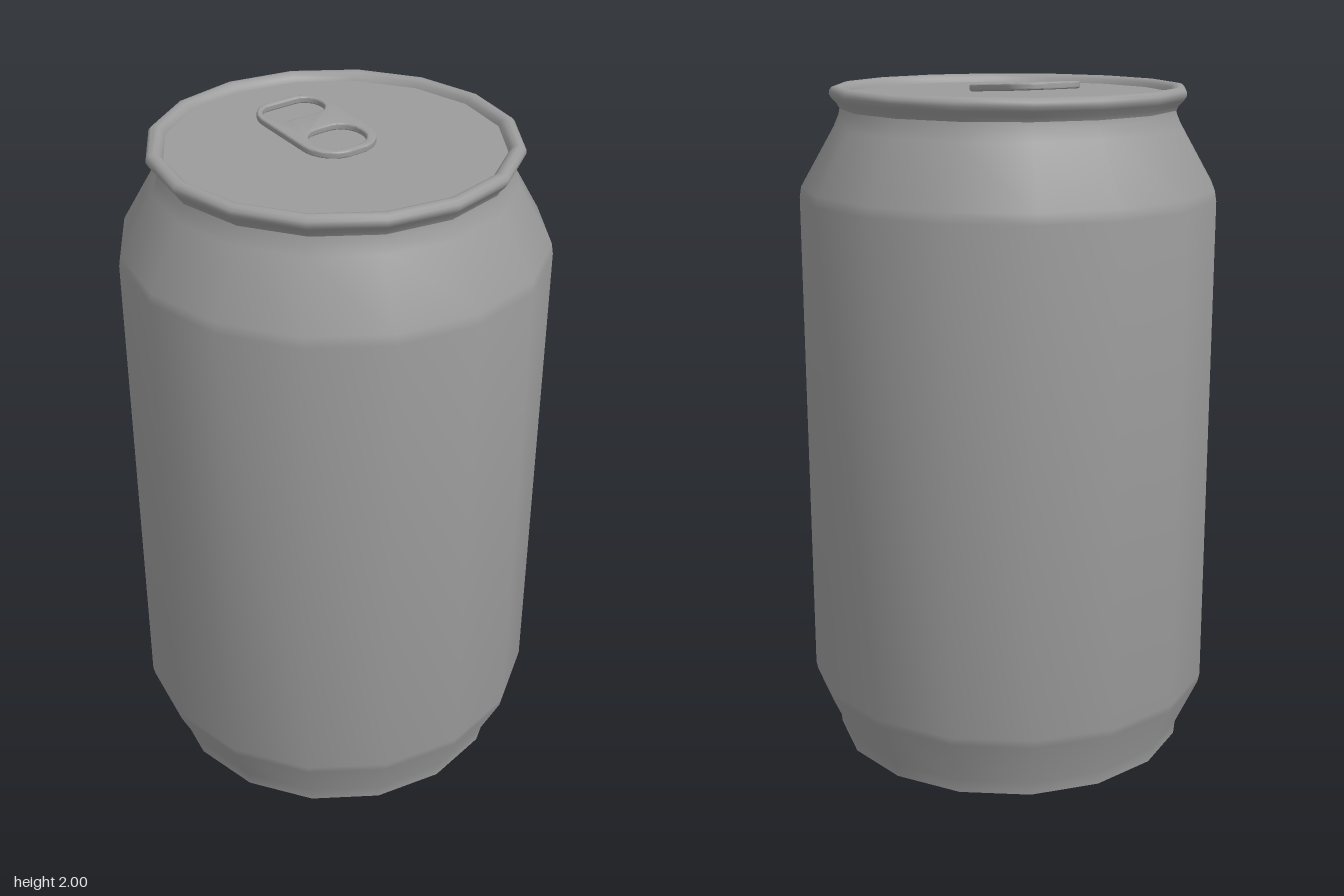
import * as THREE from 'three';
import { toCreasedNormals } from 'three/addons/utils/BufferGeometryUtils.js';

const SIDES = 16;
const material = new THREE.MeshStandardMaterial({ color: 0x9c9c9c });

function turned(name, profile) {
  const points = profile.map(([r, y]) => new THREE.Vector2(r, y));
  const mesh = new THREE.Mesh(toCreasedNormals(new THREE.LatheGeometry(points, SIDES), 0.75), material);
  mesh.name = name;
  return mesh;
}

// Rounded outline; rt and rb are the corner radii at the top and bottom
function roundedOutline(path, w, y0, y1, rt, rb) {
  const q = Math.PI / 2;
  path.absarc(w - rb, y0 + rb, rb, -q, 0);
  path.absarc(w - rt, y1 - rt, rt, 0, q);
  path.absarc(-w + rt, y1 - rt, rt, q, 2 * q);
  path.absarc(-w + rb, y0 + rb, rb, 2 * q, 3 * q);
  path.closePath();
  return path;
}

export function createModel() {
  const group = new THREE.Group();
  group.name = 'drinkCan';

  // Wall with recessed base and tapered shoulder
  group.add(turned('canBody', [
    [0, 0.03], [0.51, 0.03], [0.515, 0], [0.532, 0], [0.536, 0.04],
    [0.603, 0.185], [0.608, 0.21], [0.608, 1.665], [0.603, 1.695],
    [0.505, 1.865], [0.49, 1.9], [0.487, 1.915],
  ]));

  // Rolled rim flaring out of the neck
  group.add(turned('rim', [
    [0.487, 1.915], [0.493, 1.927], [0.508, 1.943], [0.516, 1.956], [0.515, 1.967],
    [0.507, 1.976], [0.495, 1.979], [0.483, 1.976], [0.473, 1.967], [0.468, 1.952],
  ]));

  // Sunken lid
  group.add(turned('lid', [[0.475, 1.955], [0, 1.955]]));

  // Pull tab, tilted up at the back
  const outline = roundedOutline(new THREE.Shape(), 0.108, -0.175, 0.175, 0.075, 0.09);
  outline.holes.push(
    roundedOutline(new THREE.Path(), 0.099, 0.05, 0.166, 0.056, 0.056),
    roundedOutline(new THREE.Path(), 0.086, -0.164, -0.022, 0.065, 0.07),
  );
  const tabGeometry = new THREE.ExtrudeGeometry(outline, {
    depth: 0.008, bevelEnabled: true, bevelThickness: 0.006, bevelSize: 0.006,
    bevelSegments: 3, curveSegments: 6,
  });
  tabGeometry.translate(0, 0, -0.004);
  tabGeometry.rotateX(-Math.PI / 2);
  const tab = new THREE.Mesh(toCreasedNormals(tabGeometry, 0.75), material);
  tab.name = 'pullTab';
  tab.position.set(0, 1.978, -0.08);
  tab.rotation.x = 0.07;
  group.add(tab);

  return group;
}
